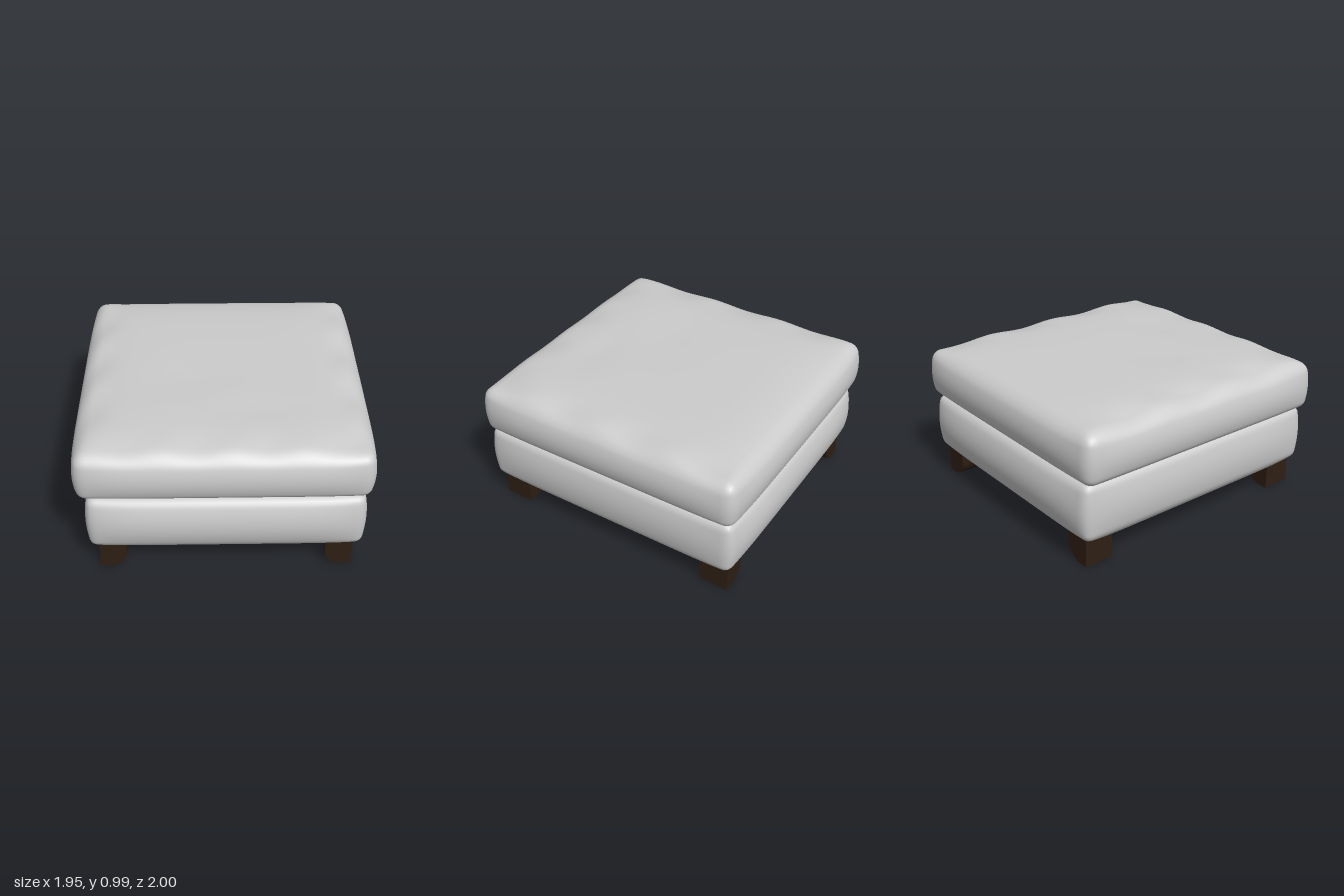
import * as THREE from 'three';
import { mergeVertices } from 'three/addons/utils/BufferGeometryUtils.js';

const fabric = new THREE.MeshStandardMaterial({ color: 0xcccccc });
const wood = new THREE.MeshStandardMaterial({ color: 0x2e1f13 });

// Soft bump centred on c with width w
const bump = (t, c, w) => Math.exp(-(((t - c) / w) ** 2));

// Rounded box with swollen sides and a domed top and/or sagging bottom
function cushion({ half, r, bulge, crown = 0, sag = 0, power = 6, wrinkle }) {
  const [hx, hy, hz] = half;
  let geo = new THREE.BoxGeometry(hx * 2, hy * 2, hz * 2, 72, 24, 72);
  geo.deleteAttribute('normal');
  geo.deleteAttribute('uv');
  geo = mergeVertices(geo);
  const inner = new THREE.Vector3(hx - r, hy - r, hz - r);
  const low = inner.clone().negate();
  const p = new THREE.Vector3(), q = new THREE.Vector3();
  const pos = geo.attributes.position;
  for (let i = 0; i < pos.count; i++) {
    p.fromBufferAttribute(pos, i);
    q.copy(p).clamp(low, inner);
    p.sub(q).setLength(r).add(q);
    const u = p.x / hx, v = p.y / hy, w = p.z / hz;
    const round = 1 - v * v;
    p.x += u * bulge[0] * round * (1 - 0.7 * w ** 6);
    p.z += w * bulge[1] * round * (1 - 0.7 * u ** 6);
    const dome = (1 - Math.abs(u) ** power) * (1 - Math.abs(w) ** power);
    const top = Math.max(0, v), bottom = Math.max(0, -v);
    p.y += dome * (crown * top - sag * bottom);
    if (wrinkle) p.y += wrinkle(u, w) * top ** 3;
    pos.setXYZ(i, p.x, p.y, p.z);
  }
  geo.computeVertexNormals();
  return new THREE.Mesh(geo, fabric);
}

// Creases along the front and side edges, with faint dents on the top
function creases(u, w) {
  const front = bump(w, 0.92, 0.1) * Math.sin(u * 13 + 1) * 0.006;
  const sides = bump(Math.abs(u), 0.92, 0.1) * Math.sin(w * 11 + u) * 0.009;
  const dents = -0.008 * bump(u, 0.25, 0.3) * bump(w, 0.55, 0.15)
    - 0.006 * bump(u, -0.3, 0.3) * bump(w, 0.2, 0.2);
  return front + sides + dents;
}

// Block foot with its inner lower edge rounded to a quarter circle
function footGeometry(width, height, depth, radius) {
  const s = new THREE.Shape();
  s.moveTo(width, 0);
  s.lineTo(width, height);
  s.lineTo(0, height);
  s.lineTo(0, radius);
  s.absarc(radius, radius, radius, Math.PI, Math.PI * 1.5, false);
  s.closePath();
  const geo = new THREE.ExtrudeGeometry(s, { depth, bevelEnabled: false, curveSegments: 12 });
  return geo.translate(-width / 2, 0, -depth / 2);
}

export function createModel() {
  const model = new THREE.Group();

  // Upholstered base
  const base = cushion({
    half: [0.888, 0.2, 0.938], r: 0.05, bulge: [0.036, 0.055], sag: 0.09, power: 8,
  });
  base.name = 'base';
  base.position.set(0.012, 0.4, 0.005);
  model.add(base);

  // Seat cushion
  const seat = cushion({
    half: [0.925, 0.168, 0.95], r: 0.06, bulge: [0.048, 0.05], crown: 0.055, wrinkle: creases,
  });
  seat.name = 'seatCushion';
  seat.position.set(0, 0.77, 0);
  model.add(seat);

  // Four feet, curved towards the middle
  const foot = footGeometry(0.18, 0.19, 0.205, 0.12);
  for (const side of [-1, 1]) {
    for (const end of [-1, 1]) {
      const mesh = new THREE.Mesh(foot, wood);
      mesh.name = `${end > 0 ? 'front' : 'back'}${side > 0 ? 'Left' : 'Right'}Foot`;
      mesh.position.set(0.013 + side * 0.745, 0, 0.005 + end * 0.807);
      if (side < 0) mesh.rotation.y = Math.PI;
      model.add(mesh);
    }
  }
  return model;
}
